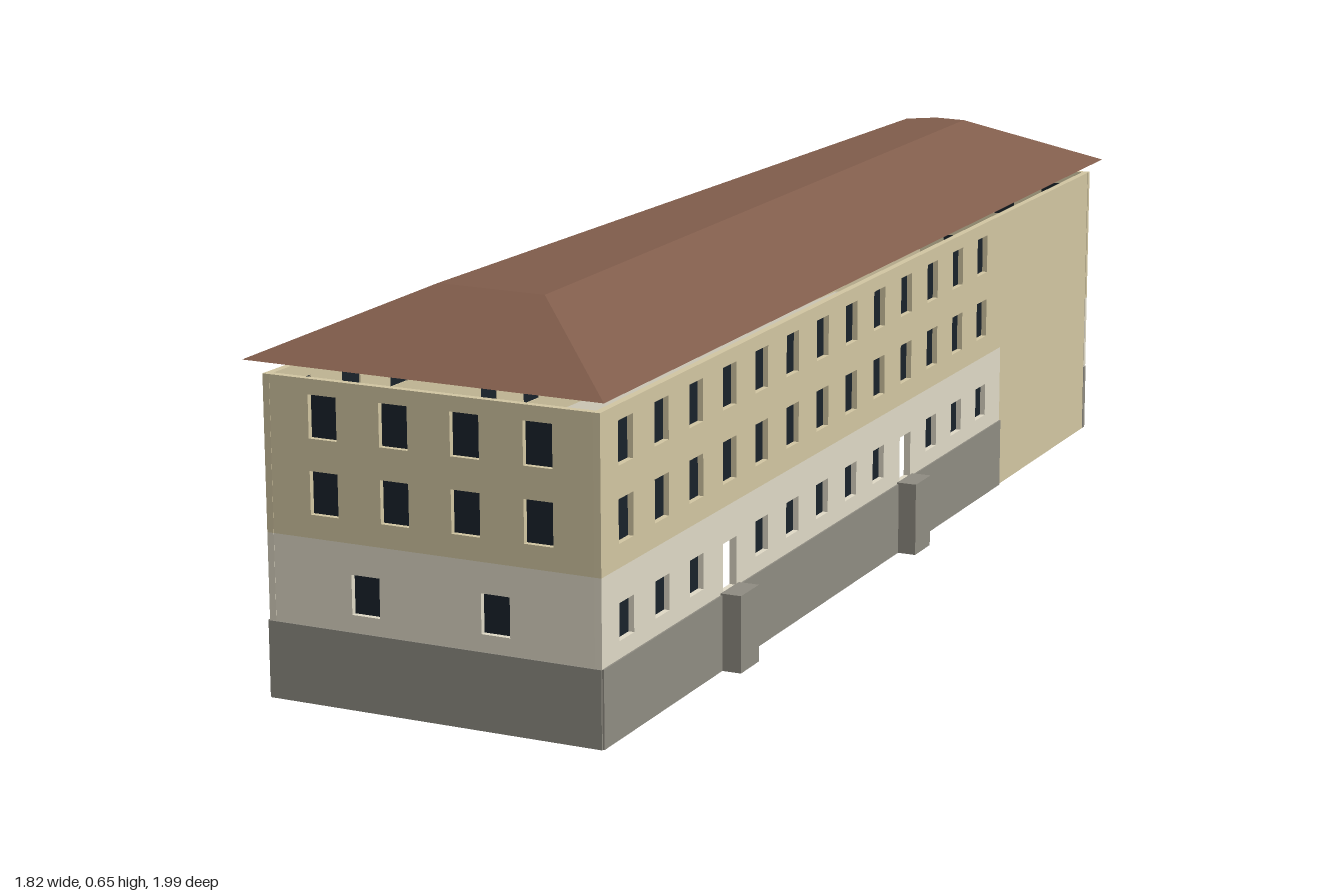
import * as THREE from 'three';
import { mergeGeometries } from 'three/addons/utils/BufferGeometryUtils.js';

const material = (color) => new THREE.MeshStandardMaterial({ color, side: THREE.DoubleSide, flatShading: true });
const cream = material(0xd2c6a2), pale = material(0xdfd9c6), stone = material(0x8f8c82);
const glass = material(0x19222b), tile = material(0x805c4b);

const BASE = 0.127, FLOOR = 0.27, TOP = 0.525, THICK = 0.012;
// Wall corners in plan (x, z), each pair read left to right from outside
const A = [-0.88, 0.61], B = [-0.412, 0.965], C = [0.875, -0.775], D = [0.577, -0.965], E = [0.385, -0.935];

// Evenly spaced openings: fractions of the wall length from a to b
const spread = (n, a, b) => Array.from({ length: n }, (_, i) => a + (b - a) * i / (n - 1));
const row = (fractions, w, y0, y1, open = false) => fractions.map((f) => ({ f, w, y0, y1, open }));
const upperRows = (fractions, w = 0.05) => [...row(fractions, w, 0.308, 0.378), ...row(fractions, w, 0.43, 0.5)];

function addMesh(group, name, geometry, mat) {
  const mesh = new THREE.Mesh(geometry, mat);
  mesh.name = name;
  group.add(mesh);
  return mesh;
}

// One coloured band of a wall, pierced by openings
function addBand(group, name, mat, x0, x1, y0, y1, len, openings = [], proud = 0) {
  const shape = new THREE.Shape();
  shape.moveTo(x0, y0).lineTo(x1, y0).lineTo(x1, y1).lineTo(x0, y1).closePath();
  for (const o of openings) {
    const l = o.f * len - o.w / 2, r = l + o.w;
    const hole = new THREE.Path();
    hole.moveTo(l, o.y0).lineTo(l, o.y1).lineTo(r, o.y1).lineTo(r, o.y0).closePath();
    shape.holes.push(hole);
  }
  const geometry = new THREE.ExtrudeGeometry(shape, { depth: THICK + proud, bevelEnabled: false });
  addMesh(group, name, geometry.translate(0, 0, -THICK), mat);
}

// A wall with local x along it, y up and z outward
function buildWall(name, p, q, lower, upper, plainFrom = 1) {
  const dx = q[0] - p[0], dz = q[1] - p[1], len = Math.hypot(dx, dz), split = len * plainFrom;
  const wall = new THREE.Group();
  wall.name = name;
  wall.position.set(p[0], 0, p[1]);
  wall.rotation.y = Math.atan2(-dz, dx);
  wall.userData.length = len;
  addBand(wall, 'plinth', stone, 0, split, 0, BASE, len, [], 0.003);
  addBand(wall, 'groundFloorWall', pale, 0, split, BASE, FLOOR, len, lower);
  addBand(wall, 'upperWall', cream, 0, len, FLOOR, TOP, len, upper);
  if (plainFrom < 1) addBand(wall, 'plainWall', cream, split, len, 0, FLOOR, len);
  const panes = [...lower, ...upper].filter((o) => !o.open).map((o) =>
    new THREE.PlaneGeometry(o.w, o.y1 - o.y0).translate(o.f * len, (o.y0 + o.y1) / 2, -THICK * 0.8));
  addMesh(wall, 'windowPanes', mergeGeometries(panes), glass);
  return wall;
}

// Block standing against a wall
function addBlock(wall, name, mat, x, w, y0, y1, depth) {
  const mesh = addMesh(wall, name, new THREE.BoxGeometry(w, y1 - y0, depth), mat);
  mesh.position.set(x, (y0 + y1) / 2, depth / 2);
}

// Hipped roof: sloping faces between the eave and the flat top outlines
function buildRoof() {
  const eave = [[-0.91, 0.6], [-0.41, 0.99], [0.905, -0.79], [0.58, -0.99], [0.38, -0.96]];
  const crown = [[-0.6, 0.57], [-0.45, 0.69], [0.6, -0.725], [0.555, -0.765], [0.495, -0.765]];
  const n = eave.length, points = [], index = [];
  for (const [x, z] of eave) points.push(x, 0.546, z);
  for (const [x, z] of crown) points.push(x, 0.647, z);
  for (let i = 0; i < n; i++) {
    const j = (i + 1) % n;
    index.push(i, j, n + j, i, n + j, n + i);
    if (i > 0 && i < n - 1) index.push(n, n + i, n + i + 1);
  }
  const geometry = new THREE.BufferGeometry();
  geometry.setAttribute('position', new THREE.Float32BufferAttribute(points, 3));
  geometry.setIndex(index);
  const flat = geometry.toNonIndexed();
  flat.computeVertexNormals();
  return flat;
}

export function createModel() {
  const model = new THREE.Group();
  model.name = 'building';

  // Gable end with four bays
  model.add(buildWall('endWall', A, B,
    row([0.3, 0.69], 0.05, 0.155, 0.22), upperRows([0.18, 0.394, 0.606, 0.82])));

  // Long street side with two open doorways and their landings
  const bays = spread(13, 0.039, 0.727), doors = [3, 9];
  const street = buildWall('streetWall', B, C, [
    ...row(bays.filter((_, i) => !doors.includes(i)), 0.05, 0.155, 0.215),
    ...row(doors.map((i) => bays[i]), 0.05, BASE + 0.001, 0.21, true),
  ], upperRows(bays), 0.774);
  for (const i of doors) addBlock(street, 'doorLanding', stone, bays[i] * street.userData.length, 0.07, 0, 0.13, 0.036);
  model.add(street);

  // Narrow end with two wide shop windows
  model.add(buildWall('narrowEndWall', C, D,
    row([0.27, 0.65], 0.08, 0.13, 0.235), upperRows([0.2, 0.5, 0.78])));

  // Cut corner with entrance, steps and a projecting bay
  const corner = buildWall('cornerWall', D, E,
    row([0.5], 0.1, 0.13, 0.235), row([0.5], 0.07, 0.43, 0.5));
  const mid = corner.userData.length / 2;
  addBlock(corner, 'entranceStep', stone, mid, 0.11, 0, 0.125, 0.012);
  addBlock(corner, 'bayBox', cream, mid, 0.15, 0.265, 0.4, 0.035);
  addBlock(corner, 'bayFrontWindow', glass, mid, 0.08, 0.3, 0.372, 0.0362);
  const sidePane = new THREE.BoxGeometry(0.152, 0.072, 0.018);
  addMesh(corner, 'baySideWindows', sidePane, glass).position.set(mid, 0.336, 0.018);
  model.add(corner);

  // Long rear side with a row of shop windows
  const rear = spread(14, 0.044, 0.956);
  model.add(buildWall('rearWall', E, A, row(rear, 0.098, 0.13, 0.235), upperRows(rear, 0.052)));

  addMesh(model, 'hippedRoof', buildRoof(), tile);
  return model;
}
